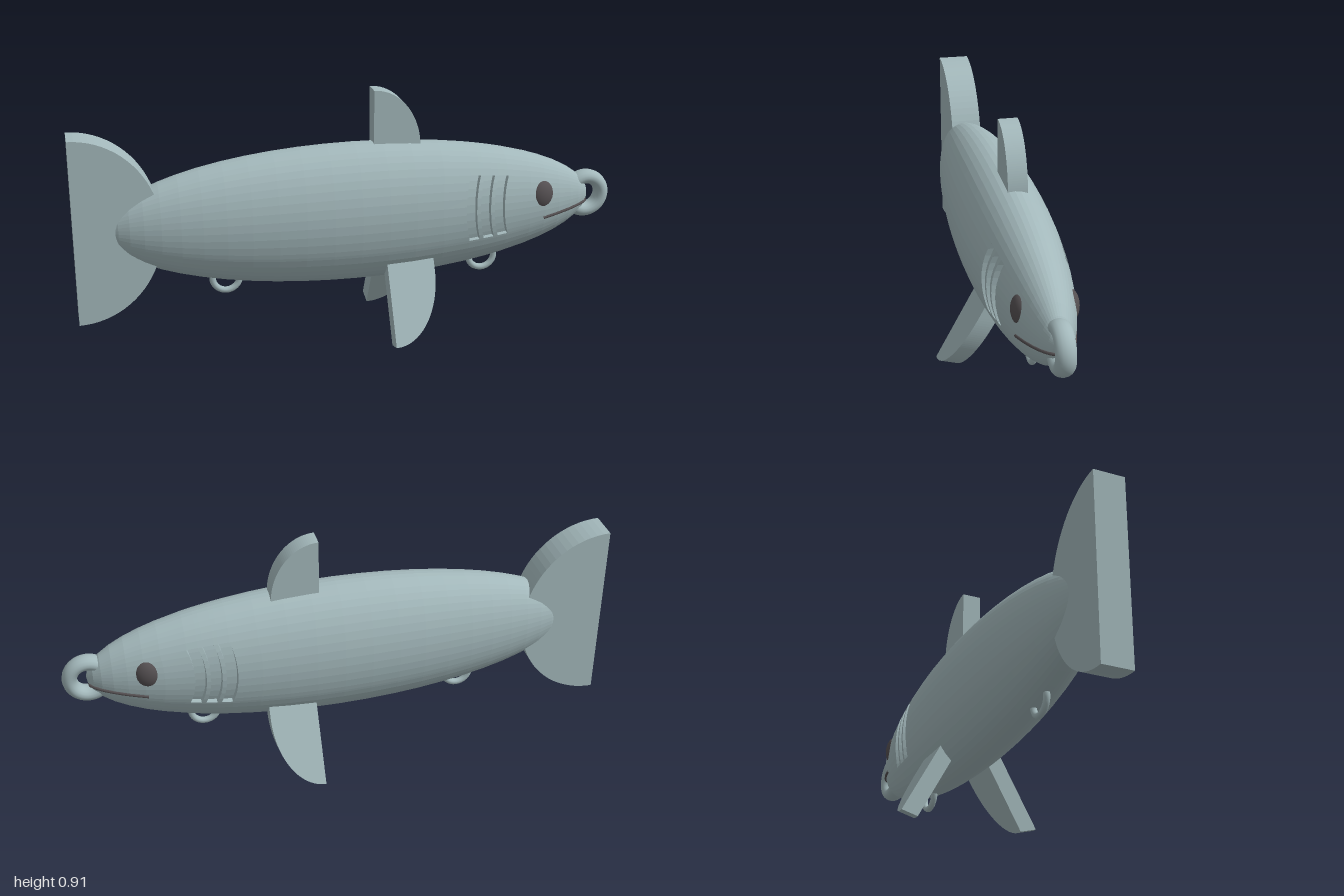
import * as THREE from 'three';

const SKIN = new THREE.MeshStandardMaterial({ color: 0xa3b8bb });
const FACET = new THREE.MeshStandardMaterial({ color: 0xa3b8bb, flatShading: true });
const DARK = new THREE.MeshStandardMaterial({ color: 0x555052 });

// Body ellipsoid: centre and radii
const C = { x: 0.01, y: 0.465 }, R = { x: 0.905, y: 0.26, z: 0.163 };
const girth = (x) => Math.sqrt(Math.max(0, 1 - ((x - C.x) / R.x) ** 2));

// Gill slits: start positions along x, width, depth and angle range from the back ridge
const GILLS = [0.398, 0.453, 0.508], GILL_W = 0.038, GILL_DEPTH = 0.02;
const GILL_TOP = 53, GILL_END = 117;

function bodyGeometry() {
  // Stations along x, with close pairs at the slit edges
  const xs = [];
  for (let i = 0; i <= 28; i++) {
    const x = C.x - R.x * Math.cos((i / 28) * Math.PI);
    if (x < 0.36 || x > 0.59) xs.push(x);
  }
  for (const g of GILLS) xs.push(g - 0.001, g, g + GILL_W, g + GILL_W + 0.001);
  xs.sort((a, b) => a - b);

  // Angles around the body, with close pairs at the slit ends
  const angles = [];
  for (let a = 0; a <= 360; a += 7.5) angles.push(a);
  for (const a of [GILL_TOP, GILL_END, GILL_END + 0.5]) angles.push(a, 360 - a);
  angles.sort((a, b) => a - b);

  const pos = [], index = [], n = angles.length;
  xs.forEach((station, i) => {
    const fade = THREE.MathUtils.smoothstep(station, 0.24, 0.38) * (1 - THREE.MathUtils.smoothstep(station, 0.56, 0.72));
    const inSlit = GILLS.some((g) => station > g - 1e-6 && station < g + GILL_W + 1e-6);
    angles.forEach((a, j) => {
      const side = a > 180 ? 360 - a : a;
      const bow = Math.min(1, ((side - 85) / 32) ** 2);
      const x = station + 0.02 * bow * fade, r = girth(x), t = THREE.MathUtils.degToRad(a);
      let z = R.z * r * Math.sin(t);
      if (inSlit && side >= GILL_TOP && side <= GILL_END) z -= GILL_DEPTH * Math.sign(z);
      pos.push(x, C.y + R.y * r * Math.cos(t), z);
      if (i < xs.length - 1 && j < n - 1) {
        const p = i * n + j;
        index.push(p, p + 1, p + n, p + 1, p + n + 1, p + n);
      }
    });
  });
  const indexed = new THREE.BufferGeometry();
  indexed.setAttribute('position', new THREE.Float32BufferAttribute(pos, 3));
  indexed.setIndex(index);
  const geo = indexed.toNonIndexed();
  geo.computeVertexNormals();
  return geo;
}

// Solid of a flat shape with its thickness centred on z = mid
function slab(shape, thickness, mid = 0) {
  const geo = new THREE.ExtrudeGeometry(shape, { depth: thickness, bevelEnabled: false, curveSegments: 20 });
  return geo.translate(0, 0, mid - thickness / 2);
}

export function createModel() {
  const group = new THREE.Group();
  const add = (name, geo, mat = SKIN) => {
    const mesh = new THREE.Mesh(geo, mat);
    mesh.name = name;
    group.add(mesh);
    return mesh;
  };

  add('body', bodyGeometry(), FACET);

  // Half-round tail
  const tail = new THREE.Shape();
  tail.absellipse(-1, 0.47, 0.31, 0.342, -Math.PI / 2, Math.PI / 2);
  add('tailFin', slab(tail, 0.115, -0.01));

  // Quarter-round back fin
  const dorsal = new THREE.Shape();
  dorsal.moveTo(0.08, 0.62);
  dorsal.lineTo(0.253, 0.62);
  dorsal.absellipse(0.08, 0.7, 0.173, 0.218, 0, Math.PI / 2);
  add('backFin', slab(dorsal, 0.07, -0.01));

  // Splayed side fins, tip at the origin of the sloping axis
  const side = new THREE.Shape();
  side.moveTo(0.11, 0.36);
  side.lineTo(0.11, 0);
  side.absellipse(0.11, 0.27, 0.175, 0.27, -Math.PI / 2, 0);
  side.lineTo(0.285, 0.36);
  const splay = new THREE.Matrix4().makeBasis(
    new THREE.Vector3(1, 0, 0),
    new THREE.Vector3(0, 0.88, -0.475),
    new THREE.Vector3(0, 0.27, 0.963),
  ).setPosition(0, 0.003, 0.201);
  const sideGeo = slab(side, 0.064, 0.032).applyMatrix4(splay);
  sideGeo.computeVertexNormals();
  add('leftOrRightSideFin', sideGeo).name = 'sideFinFront';
  add('sideFinBack', sideGeo).scale.z = -1;

  // Eyes, leaning with the taper of the head
  for (const s of [1, -1]) {
    const eye = add(s > 0 ? 'eyeFront' : 'eyeBack', new THREE.SphereGeometry(1, 24, 16), DARK);
    eye.scale.set(0.05, 0.058, 0.035);
    eye.position.set(0.705, 0.498, s * 0.077);
    eye.rotation.y = s * 0.216;
  }

  // Mouth line wrapped round the snout
  const mouth = [];
  for (let i = -12; i <= 12; i++) {
    const k = Math.abs(i) / 12, x = 0.905 - 0.195 * k * k, y = 0.441 - 0.03 * k * k;
    const w = Math.sqrt(Math.max(0, girth(x) ** 2 - ((y - C.y) / R.y) ** 2));
    mouth.push(new THREE.Vector3(x, y, Math.sign(i) * R.z * w));
  }
  add('mouth', new THREE.TubeGeometry(new THREE.CatmullRomCurve3(mouth), 60, 0.006, 6), DARK);

  // Line ring on the nose and two hook rings on the belly
  add('noseRing', new THREE.TorusGeometry(0.065, 0.027, 16, 40)).position.set(0.908, 0.463, 0);
  group.getObjectByName('noseRing').scale.z = 1.28;
  for (const [name, x] of [['rearHookRing', -0.465], ['frontHookRing', 0.505]]) {
    add(name, new THREE.TorusGeometry(0.05, 0.012, 10, 32)).position.set(x, 0.246, 0);
  }

  return group;
}
